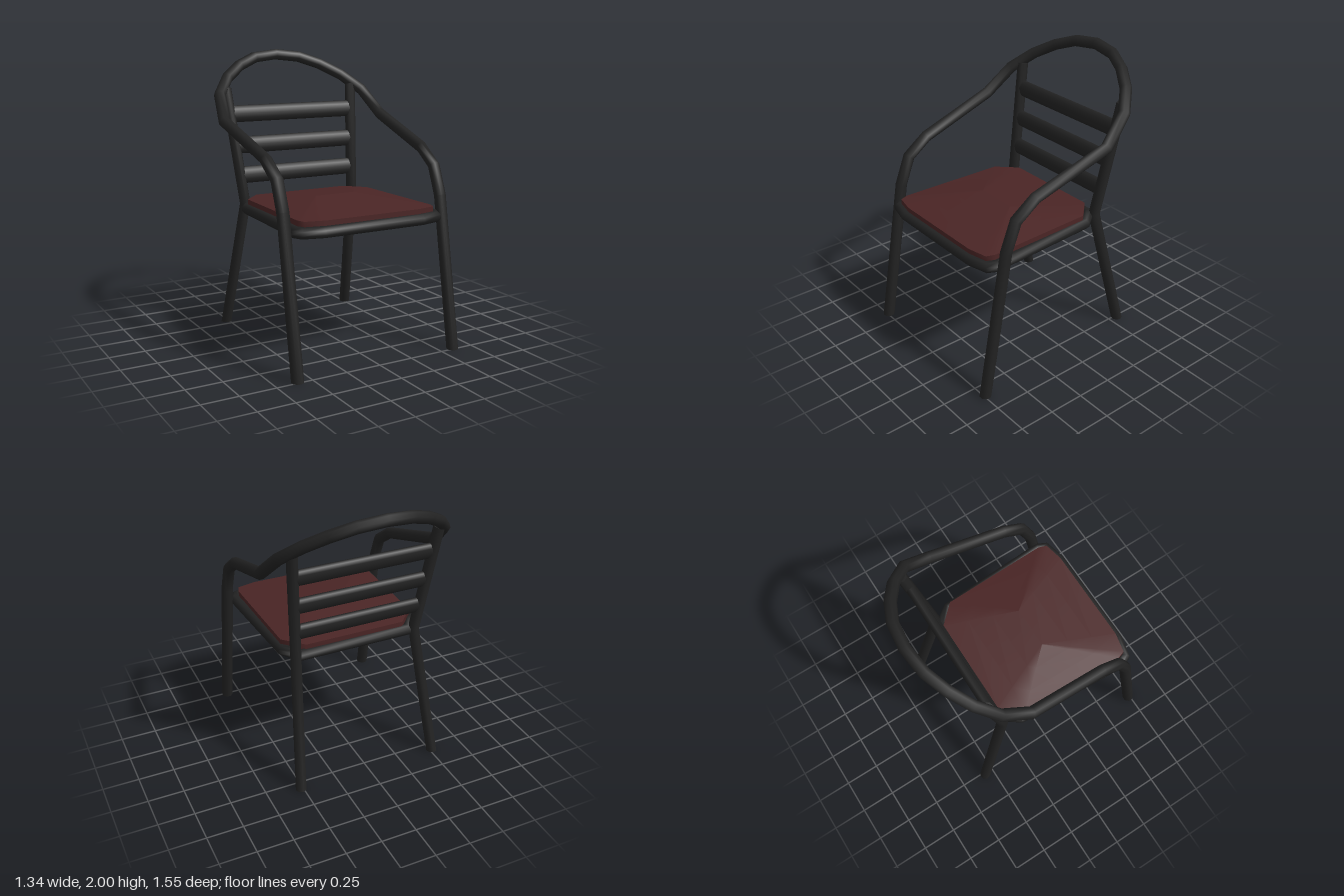
import * as THREE from 'three';

const V = (x, y, z) => new THREE.Vector3(x, y, z);
const UP = V(0, 1, 0);
const SIDES = 8;

// Skin rings of points with quads; optional closed loop, or flat end caps.
function skin(rings, closed) {
  const n = rings[0].length, pos = [], idx = [];
  rings.forEach(r => r.forEach(p => pos.push(p.x, p.y, p.z)));
  const spans = closed ? rings.length : rings.length - 1;
  for (let i = 0; i < spans; i++) {
    const a = i * n, b = ((i + 1) % rings.length) * n;
    for (let j = 0; j < n; j++) {
      const k = (j + 1) % n;
      idx.push(a + j, a + k, b + j, a + k, b + k, b + j);
    }
  }
  if (!closed) {
    [rings[0], rings[rings.length - 1]].forEach((r, e) => {
      const s = pos.length / 3;
      r.forEach(p => pos.push(p.x, p.y, p.z));
      for (let j = 1; j < n - 1; j++) {
        if (e) idx.push(s, s + j, s + j + 1);
        else idx.push(s, s + j + 1, s + j);
      }
    });
  }
  const g = new THREE.BufferGeometry();
  g.setAttribute('position', new THREE.Float32BufferAttribute(pos, 3));
  g.setIndex(idx);
  g.computeVertexNormals();
  return g;
}

// Round pipe with mitred bends; startCut and endCut are the normals of the end planes.
function pipe(pts, radius, { closed = false, startCut, endCut } = {}) {
  const n = pts.length;
  const dir = i => pts[(i + 1) % n].clone().sub(pts[i]).normalize();
  const plane = i => {
    if (!closed && i === 0) return startCut || dir(0);
    if (!closed && i === n - 1) return endCut || dir(n - 2);
    return dir(i).add(dir((i + n - 1) % n)).normalize();
  };
  const d0 = dir(0);
  const u = V(-d0.z, 0, d0.x);
  if (u.length() < 0.01) u.set(1, 0, 0);
  u.normalize();
  const w = d0.clone().cross(u);
  let ring = [];
  for (let j = 0; j < SIDES; j++) {
    const a = (j + 0.5) / SIDES * Math.PI * 2;
    ring.push(pts[0].clone().addScaledVector(u, Math.cos(a) * radius).addScaledVector(w, Math.sin(a) * radius));
  }
  const rings = [];
  for (let i = 0; i < n; i++) {
    const d = i === 0 ? d0 : dir(i - 1), m = plane(i);
    ring = ring.map(p => p.clone().addScaledVector(d, pts[i].clone().sub(p).dot(m) / d.dot(m)));
    rings.push(ring);
  }
  return skin(rings, closed);
}

// Complete a half path (ending on the centre line) with its mirror image.
const mirrored = half => [...half, ...half.slice(0, -1).reverse().map(p => V(-p.x, p.y, p.z))];

export function createModel() {
  const chair = new THREE.Group();
  chair.name = 'armchair';
  const black = new THREE.MeshStandardMaterial({ color: 0x222222 });
  black.name = 'black metal';
  const red = new THREE.MeshStandardMaterial({ color: 0x4a2525 });
  red.name = 'dark red cushion';
  const add = (name, geometry, material) => {
    const mesh = new THREE.Mesh(geometry, material);
    mesh.name = name;
    chair.add(mesh);
    return mesh;
  };

  // Front legs, armrests and back hoop are one bent pipe
  const hoop = [[0.63, 1.53], [0.582, 1.70], [0.47, 1.81], [0.335, 1.89], [0.185, 1.945], [0, 1.965]]
    .map(([x, y]) => V(x, y, -0.25 - (y - 1.53) * 1.115));
  const arm = [V(0.6, 0, 0.737), V(0.6, 1.04, 0.555), V(0.6, 1.235, 0.478), V(0.602, 1.345, 0.325), ...hoop];
  add('armHoop', pipe(mirrored(arm), 0.041, { startCut: UP, endCut: UP.clone().negate() }), black);

  // Back legs run up past the seat to the hoop
  for (const [side, s] of [['left', 1], ['right', -1]]) {
    const path = [V(s * 0.515, 0, -0.565), V(s * 0.443, 0.93, -0.35), V(s * 0.512, 1.74, -0.492)];
    add(side + 'BackLeg', pipe(path, 0.039, { startCut: UP }), black);
  }

  // Back slats: flattened bars leaning with the back legs
  [1.13, 1.34, 1.56].forEach((y, i) => {
    const half = 0.458 + i * 0.018;
    const g = new THREE.CylinderGeometry(1, 1, half * 2, 12);
    g.rotateZ(Math.PI / 2);
    g.scale(1, 0.06, 0.032);
    const slat = add('backSlat' + (i + 1), g, black);
    slat.position.set(0, y, -0.35 - (y - 0.93) * 0.175);
    slat.rotation.x = -0.17;
  });

  // Seat frame: closed pipe with cut corners
  const corners = [[0.37, 0.665], [0.505, 0.632], [0.53, 0.58], [0.485, -0.22], [0.40, -0.335]];
  const outline = [...corners, ...corners.slice().reverse().map(([x, z]) => [-x, z])];
  add('seatFrame', pipe(outline.map(([x, z]) => V(x, 0.917, z)), 0.039, { closed: true }), black);

  // Cushion: rim with a shallow crown above and a slight belly below
  const rim = [[0.35, 0.66], [0.49, 0.63], [0.51, 0.57], [0.49, -0.2], [0.36, -0.335]];
  const loop = [...rim, ...rim.slice().reverse().map(([x, z]) => [-x, z])];
  const level = (y, f = 1) => loop.map(([x, z]) => V(x * f, y, 0.165 + (z - 0.165) * f));
  const ridge = y => loop.map(([x]) => V(Math.sign(x) * Math.min(Math.abs(x), 0.15), y, 0.165));
  add('cushionRim', skin([level(0.94), level(0.987)], false), red);
  const blend = (y0, y1) => {
    const a = level(y0), b = ridge(y1);
    return [0, 0.33, 0.66, 1].map(t => a.map((p, i) => p.clone().lerp(b[i], t)));
  };
  add('cushionTop', skin(blend(0.987, 1.042), false), red);
  add('cushionUnderside', skin(blend(0.94, 0.9).reverse(), false), red);

  return chair;
}
